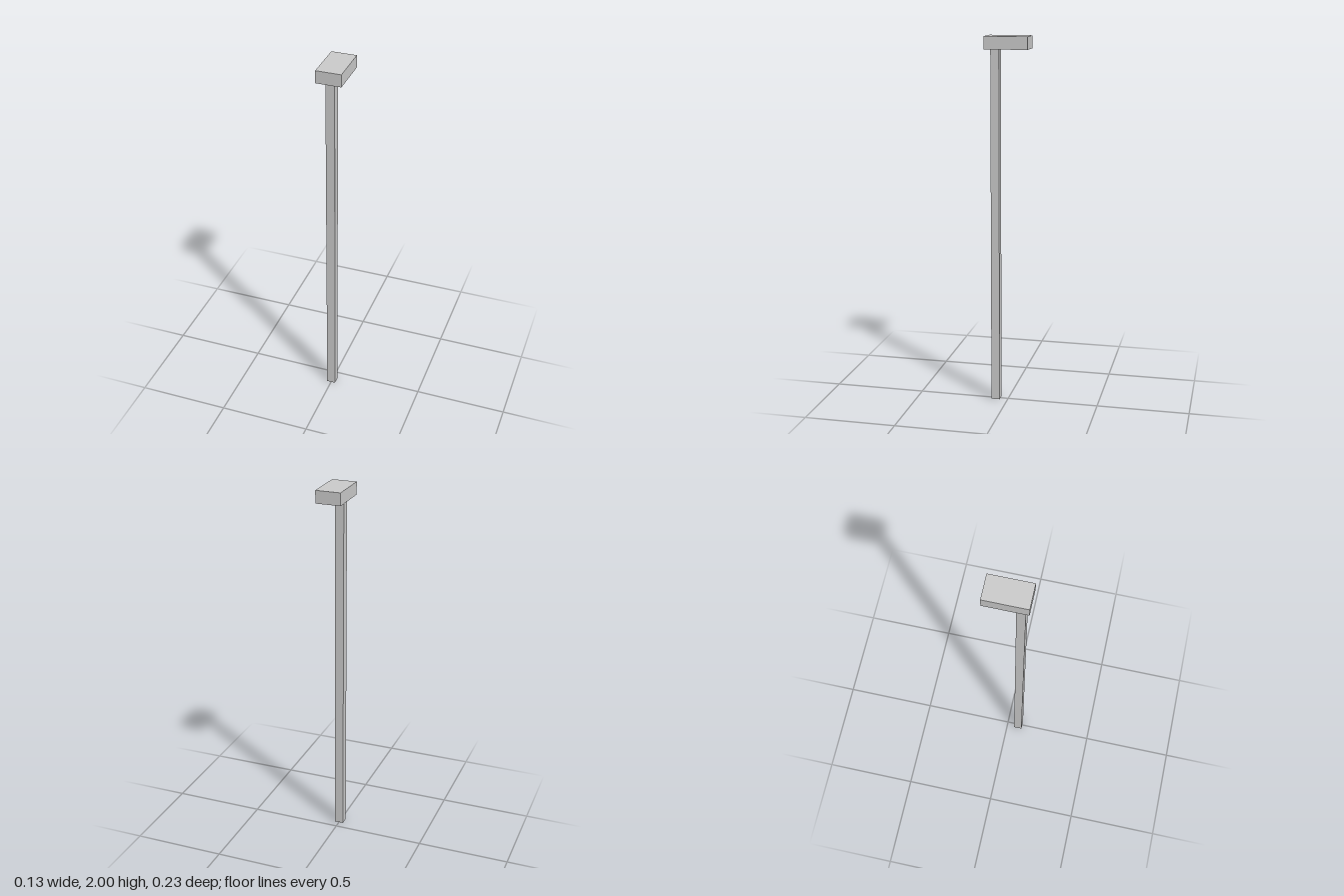
import * as THREE from 'three';

const W = 0.134, D = 0.23, TOP = 2, RIM = 1.933;

export function createModel() {
  const group = new THREE.Group();
  const mat = new THREE.MeshStandardMaterial({ color: 0xcccccc, side: THREE.DoubleSide });
  const add = (name, geo, x, y, z) => {
    const mesh = new THREE.Mesh(geo, mat);
    mesh.name = name;
    mesh.position.set(x, y, z);
    group.add(mesh);
    return mesh;
  };

  // square post, set towards the front of the head
  add('post', new THREE.BoxGeometry(0.048, RIM, 0.046), 0, RIM / 2, 0.067);

  // hollow lamp head: a thin box without its bottom face
  const shell = new THREE.BoxGeometry(W, TOP - RIM, D);
  const index = Array.from(shell.index.array);
  index.splice(18, 6);
  shell.setIndex(index);
  shell.clearGroups();
  add('lampHead', shell, 0, (TOP + RIM) / 2, 0);

  // plate closing the underside around the post
  const back = 0.04, front = D / 2;
  const plate = new THREE.PlaneGeometry(W, front - back).rotateX(Math.PI / 2);
  add('mountingPlate', plate, 0, RIM, (front + back) / 2);

  return group;
}
